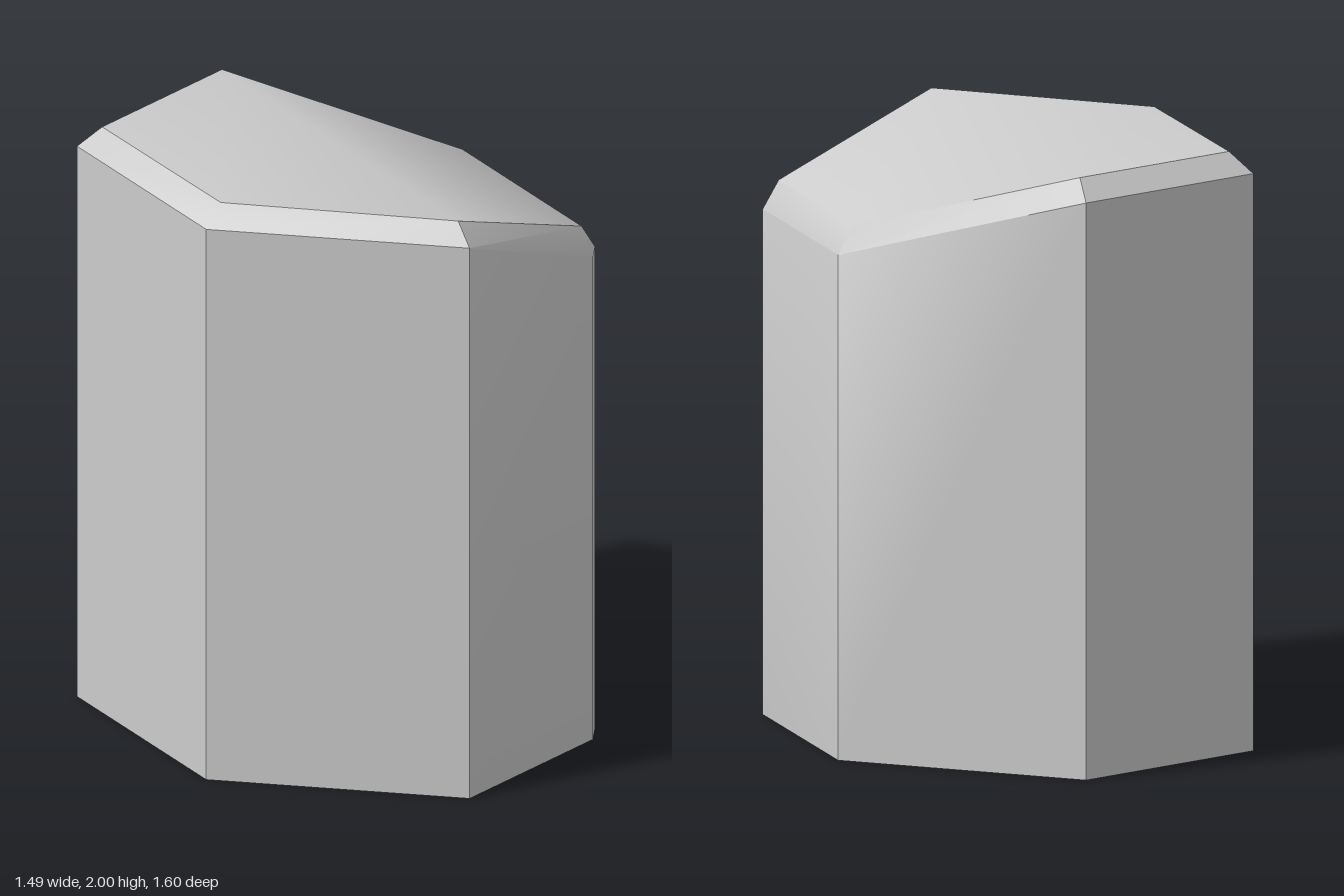
import * as THREE from 'three';
import { toCreasedNormals } from 'three/addons/utils/BufferGeometryUtils.js';

// Rim of the prism, counterclockwise from above: x, y, z (front right corner is cut off)
const rim = [
  [-0.743, 1.93, 0], [-0.372, 1.93, 0.8], [0.31, 1.69, 0.8], [0.397, 1.69, 0.745],
  [0.743, 1.69, 0], [0.372, 1.93, -0.8], [-0.372, 1.93, -0.8],
];
// Inner edge of the bevel; the cut corner narrows to one point
const crown = [
  [-0.663, 2, 0], [-0.34, 2, 0.73], [0.332, 1.78, 0.738],
  [0.675, 1.78, 0], [0.335, 2, -0.73], [-0.328, 2, -0.73],
];
const crownOf = [0, 1, 2, 2, 3, 4, 5];

function createPrism() {
  const points = [];
  const tri = (a, b, c) => points.push(...a, ...b, ...c);
  const quad = (a, b, c, d) => { tri(a, b, c); tri(a, c, d); };
  const base = rim.map(([x, , z]) => [x, 0, z]);

  for (let i = 0; i < rim.length; i++) {
    const j = (i + 1) % rim.length;
    const a = crown[crownOf[i]], b = crown[crownOf[j]];
    // Upright wall, then bevel
    quad(base[i], base[j], rim[j], rim[i]);
    if (a === b) tri(rim[i], rim[j], a);
    else quad(rim[i], rim[j], b, a);
    // Underside
    if (i > 0 && j > 0) tri(base[0], base[j], base[i]);
  }
  // Level half and sloping half of the top, meeting on a diagonal
  quad(crown[4], crown[5], crown[0], crown[1]);
  quad(crown[1], crown[2], crown[3], crown[4]);

  const geometry = new THREE.BufferGeometry();
  geometry.setAttribute('position', new THREE.Float32BufferAttribute(points, 3));
  return toCreasedNormals(geometry, THREE.MathUtils.degToRad(38));
}

export function createModel() {
  const group = new THREE.Group();
  group.name = 'hexagonalColumn';
  const column = new THREE.Mesh(createPrism(), new THREE.MeshStandardMaterial({ color: 0xcccccc }));
  column.name = 'bevelledColumn';
  group.add(column);
  return group;
}
